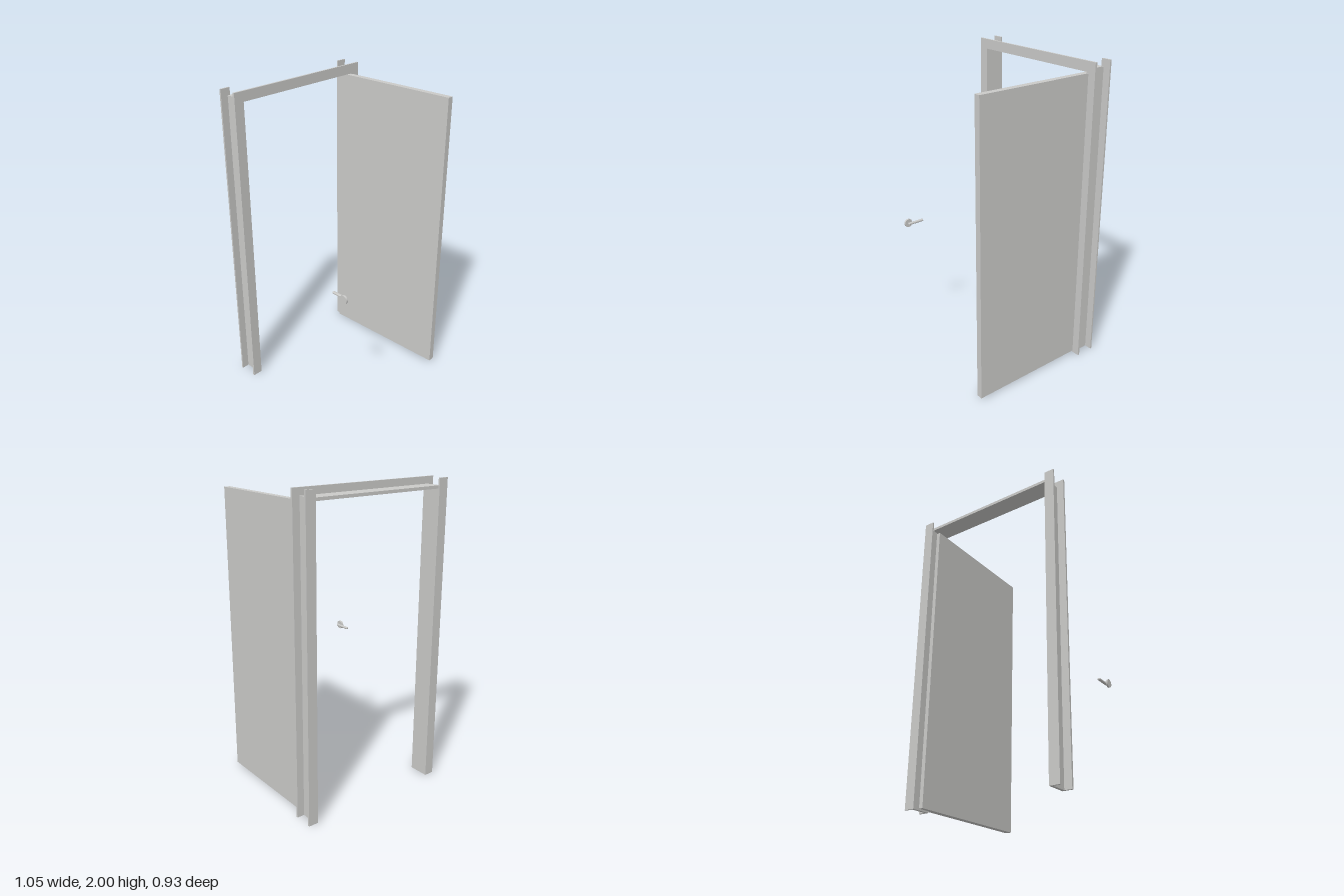
import * as THREE from 'three';
import { RoundedBoxGeometry } from 'three/addons/geometries/RoundedBoxGeometry.js';

const grey = new THREE.MeshStandardMaterial({ color: 0xcacac8 });
grey.name = 'plain grey';

// Box given by its minimum and maximum corners
function block(name, [x0, y0, z0], [x1, y1, z1]) {
  const mesh = new THREE.Mesh(new THREE.BoxGeometry(x1 - x0, y1 - y0, z1 - z0), grey);
  mesh.position.set((x0 + x1) / 2, (y0 + y1) / 2, (z0 + z1) / 2);
  mesh.name = name;
  return mesh;
}

// U-shaped surround (two legs and a head) extruded from z0 to z1
function surround(name, outer, top, inner, head, z0, z1) {
  const shape = new THREE.Shape([
    [-outer, 0], [-inner, 0], [-inner, head], [inner, head],
    [inner, 0], [outer, 0], [outer, top], [-outer, top],
  ].map(([x, y]) => new THREE.Vector2(x, y)));
  const geometry = new THREE.ExtrudeGeometry(shape, { depth: z1 - z0, bevelEnabled: false });
  const mesh = new THREE.Mesh(geometry, grey);
  mesh.position.z = z0;
  mesh.name = name;
  return mesh;
}

export function createModel() {
  const model = new THREE.Group();
  model.name = 'openDoor';

  // Frame: lining, front casing, and two rear casing strips without a head
  const frame = new THREE.Group();
  frame.name = 'frame';
  frame.add(surround('lining', 0.478, 1.955, 0.46, 1.936, -0.457, -0.348));
  frame.add(surround('frontCasing', 0.526, 2, 0.46, 1.936, -0.348, -0.335));
  frame.add(block('leftRearCasing', [0.46, 0, -0.468], [0.526, 2, -0.457]));
  frame.add(block('rightRearCasing', [-0.526, 0, -0.468], [-0.46, 2, -0.457]));
  model.add(frame);

  // Door leaf standing open at a right angle
  model.add(block('doorLeaf', [0.434, 0.01, -0.42], [0.474, 1.93, 0.465]));

  // Lever handle: round rose, short stem and rounded grip
  const handle = new THREE.Group();
  handle.name = 'handle';
  handle.position.set(-0.395, 0.88, 0.393);
  const rose = new THREE.Mesh(new THREE.CylinderGeometry(0.028, 0.028, 0.012, 32), grey);
  rose.rotation.z = Math.PI / 2;
  rose.name = 'rose';
  const stem = new THREE.Mesh(new THREE.CylinderGeometry(0.006, 0.006, 0.014, 16), grey);
  stem.rotation.z = Math.PI / 2;
  stem.position.x = 0.009;
  stem.name = 'stem';
  const grip = new THREE.Mesh(new RoundedBoxGeometry(0.019, 0.015, 0.113, 3, 0.006), grey);
  grip.position.set(0.0175, 0, -0.0475);
  grip.name = 'grip';
  handle.add(rose, stem, grip);
  model.add(handle);

  return model;
}
